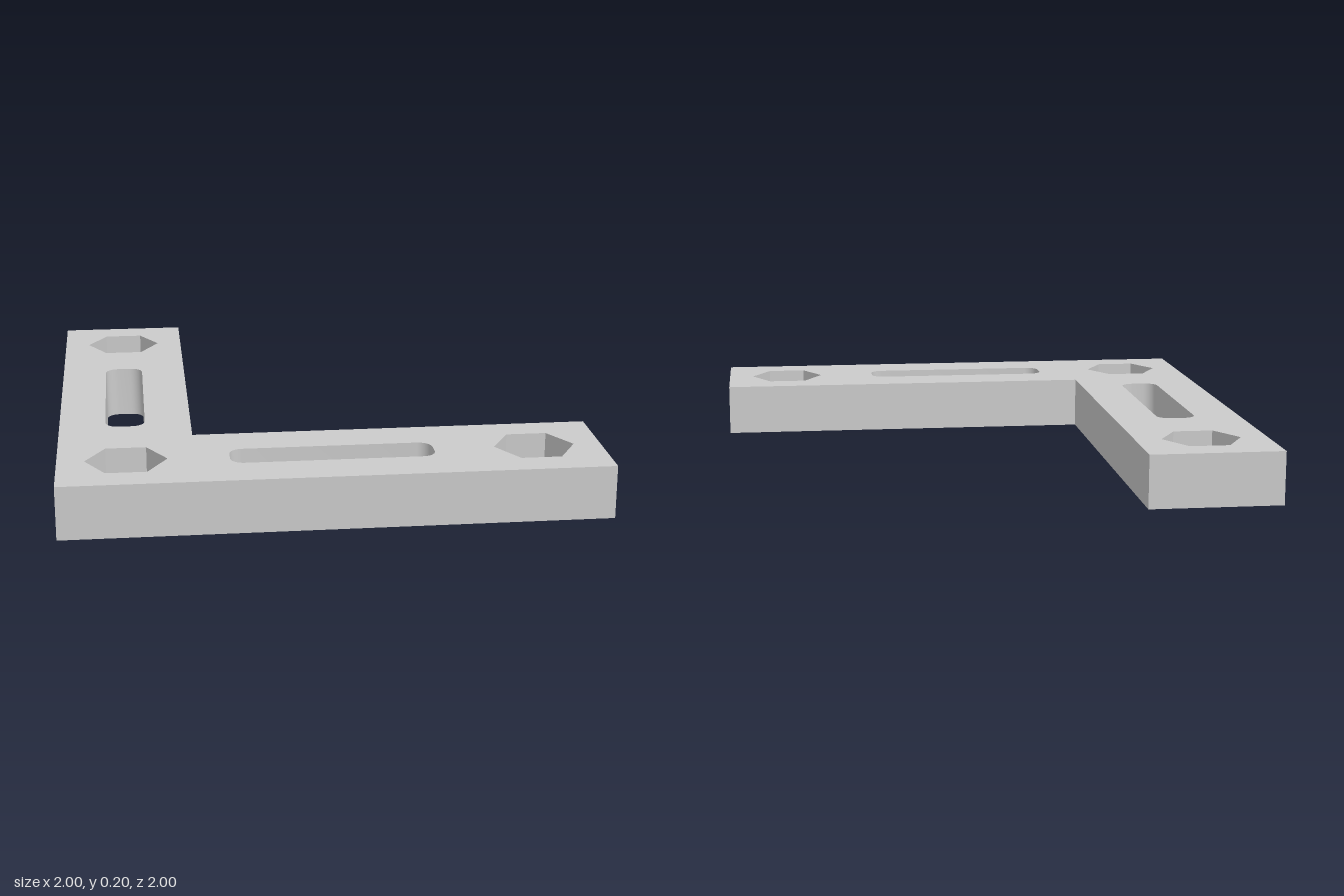
import * as THREE from 'three';
import { mergeGeometries, toCreasedNormals } from 'three/addons/utils/BufferGeometryUtils.js';

const THICK = 0.2, SEAT = 0.05; // plate thickness, height of the nut seats

// Plan points are (x, -z); all loops run counter-clockwise
const ngon = (cx, cy, r, n) => Array.from({ length: n }, (_, i) => {
  const a = (i / n) * Math.PI * 2;
  return new THREE.Vector2(cx + r * Math.cos(a), cy + r * Math.sin(a));
});

function roundedRect(cx, cy, w, h, r, seg = 6) {
  const pts = [];
  [[1, 1], [-1, 1], [-1, -1], [1, -1]].forEach(([sx, sy], q) => {
    for (let i = 0; i <= seg; i++) {
      const a = (q + i / seg) * Math.PI / 2;
      pts.push(new THREE.Vector2(
        cx + sx * (w / 2 - r) + r * Math.cos(a),
        cy + sy * (h / 2 - r) + r * Math.sin(a)));
    }
  });
  return pts;
}

// Flat face at height y with holes, facing up or down
function cap(outline, holes, y, up = true) {
  const shape = new THREE.Shape(outline);
  shape.holes = holes.map(h => new THREE.Path(h));
  const g = new THREE.ShapeGeometry(shape);
  g.rotateX(-Math.PI / 2).translate(0, y, 0);
  if (!up) g.index.array.reverse();
  g.deleteAttribute('uv');
  g.deleteAttribute('normal');
  return g;
}

// Upright wall along a closed loop, facing out, or in for a hole
function wall(loop, y0, y1, inward = false) {
  const pos = [], idx = [], n = loop.length;
  loop.forEach(p => pos.push(p.x, y0, -p.y, p.x, y1, -p.y));
  for (let i = 0; i < n; i++) {
    const a = 2 * i, b = 2 * ((i + 1) % n);
    idx.push(a, b, b + 1, a, b + 1, a + 1);
  }
  if (inward) idx.reverse();
  const g = new THREE.BufferGeometry();
  g.setAttribute('position', new THREE.Float32BufferAttribute(pos, 3));
  g.setIndex(idx);
  return g;
}

export function createModel() {
  const group = new THREE.Group();
  group.name = 'cornerBracket';
  const material = new THREE.MeshStandardMaterial({ color: 0xcccccc });
  const add = (name, parts) => {
    const mesh = new THREE.Mesh(toCreasedNormals(mergeGeometries(parts), Math.PI / 6), material);
    mesh.name = name;
    group.add(mesh);
  };

  const outline = [[-1, -1], [1, -1], [1, -0.5], [-0.5, -0.5], [-0.5, 1], [-1, 1]]
    .map(([x, y]) => new THREE.Vector2(x, y));
  const slots = [
    roundedRect(0, -0.75, 0.75, 0.15, 0.05),
    roundedRect(-0.75, 0, 0.15, 0.75, 0.05),
  ];
  const centres = [[-0.75, 0.75], [-0.75, -0.75], [0.75, -0.75]];
  const pockets = centres.map(([x, y]) => ngon(x, y, 0.15, 6));
  const bores = centres.map(([x, y]) => ngon(x, y, 0.075, 32));

  // L-shaped plate
  add('plate', [
    cap(outline, [...slots, ...pockets], THICK),
    cap(outline, [...slots, ...bores], 0, false),
    wall(outline, 0, THICK),
  ]);

  // Slots through both arms
  slots.forEach((s, i) => add(i ? 'sideArmSlot' : 'frontArmSlot', [wall(s, 0, THICK, true)]));

  // Hexagonal nut pockets, each with a seat and a round bolt hole below
  pockets.forEach((hex, i) => add(['backNutPocket', 'cornerNutPocket', 'frontNutPocket'][i], [
    wall(hex, SEAT, THICK, true),
    cap(hex, [bores[i]], SEAT),
    wall(bores[i], 0, SEAT, true),
  ]));

  return group;
}
